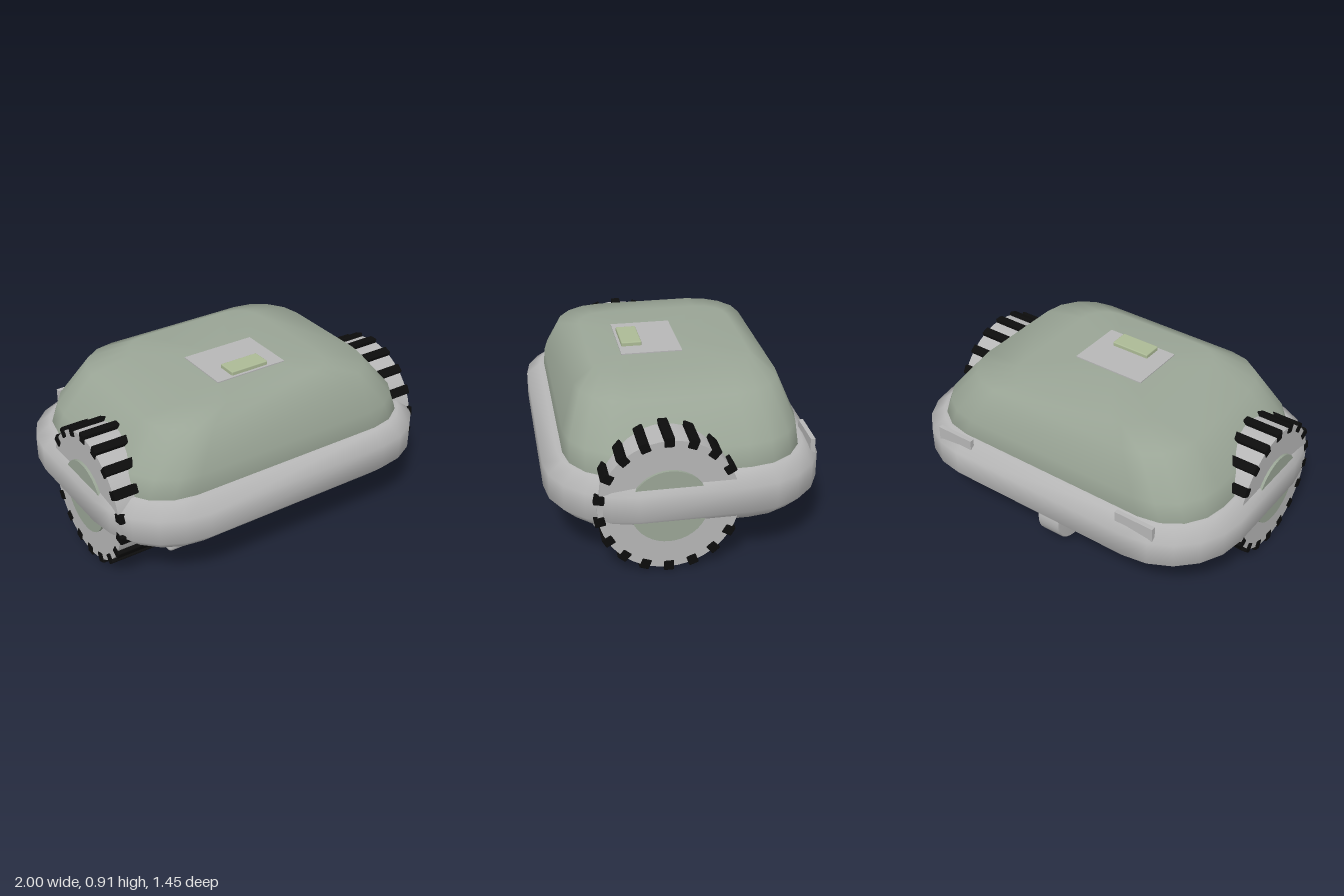
import * as THREE from 'three';
import { RoundedBoxGeometry } from 'three/addons/geometries/RoundedBoxGeometry.js';

const mat = (name, color) => {
  const m = new THREE.MeshStandardMaterial({ color });
  m.name = name;
  return m;
};

// Smooth closed skin through rounded rectangles, each [halfX, halfZ, cornerRadius, y], bottom to top
function loft(sections, seg) {
  const pos = [], idx = [], n = 4 * (seg + 1);
  for (const [hx, hz, r, y] of sections) {
    for (let q = 0; q < 4; q++) {
      const sx = q === 0 || q === 3 ? 1 : -1, sz = q < 2 ? 1 : -1;
      for (let k = 0; k <= seg; k++) {
        const t = (q + k / seg) * Math.PI / 2;
        pos.push(sx * (hx - r) + r * Math.cos(t), y, sz * (hz - r) + r * Math.sin(t));
      }
    }
  }
  const last = sections.length - 1;
  for (let i = 0; i < last; i++) {
    for (let j = 0; j < n; j++) {
      const a = i * n + j, b = i * n + (j + 1) % n;
      idx.push(a, a + n, b, b, a + n, b + n);
    }
  }
  const bottom = pos.length / 3, top = bottom + 1;
  pos.push(0, sections[0][3], 0, 0, sections[last][3], 0);
  for (let j = 0; j < n; j++) {
    const k = (j + 1) % n;
    idx.push(bottom, j, k, top, last * n + k, last * n + j);
  }
  const g = new THREE.BufferGeometry();
  g.setAttribute('position', new THREE.Float32BufferAttribute(pos, 3));
  g.setIndex(idx);
  g.computeVertexNormals();
  return g;
}

export function createModel() {
  const grey = mat('light grey', 0xb6b6b6);
  const green = mat('sage green', 0x9aa596);
  const lime = mat('pale green', 0xabb995);
  const black = mat('black rubber', 0x0c0c0c);

  const model = new THREE.Group();
  const add = (name, geometry, material, x = 0, y = 0, z = 0, parent = model) => {
    const m = new THREE.Mesh(geometry, material);
    m.name = name;
    m.position.set(x, y, z);
    parent.add(m);
    return m;
  };

  // Domed shell
  add('shell', loft([
    [0.88, 0.60, 0.32, 0.36],
    [0.90, 0.62, 0.32, 0.52],
    [0.86, 0.613, 0.32, 0.63],
    [0.69, 0.535, 0.27, 0.835],
    [0.43, 0.43, 0.16, 0.882],
  ], 4), green);

  // Bumper running all the way round
  add('bumper', loft([
    [0.72, 0.445, 0.17, 0.33],
    [0.80, 0.525, 0.25, 0.246],
    [0.92, 0.645, 0.36, 0.246],
    [1.00, 0.725, 0.44, 0.325],
    [1.00, 0.725, 0.44, 0.465],
    [0.92, 0.645, 0.36, 0.524],
    [0.80, 0.525, 0.25, 0.524],
  ], 5), grey);

  // Underbody
  add('base', new RoundedBoxGeometry(1.34, 0.26, 0.96, 2, 0.022), grey, 0, 0.23, 0);

  // Top plate and button
  add('topPlate', new THREE.BoxGeometry(0.43, 0.008, 0.33), grey, 0, 0.884, 0.09);
  add('button', new RoundedBoxGeometry(0.23, 0.04, 0.11, 2, 0.006), lime, 0, 0.89, 0.185);

  // Rear caster
  const caster = new THREE.LatheGeometry([
    [0, -0.073], [0.138, -0.073], [0.145, -0.066],
    [0.145, 0.066], [0.138, 0.073], [0, 0.073],
  ].map(([r, y]) => new THREE.Vector2(r, y)), 40);
  caster.rotateZ(Math.PI / 2);
  add('caster', caster, grey, 0, 0.182, -0.49);

  // Drive wheels with cross treads, and rear contact plates, mirrored
  const tyre = new THREE.CylinderGeometry(0.36, 0.36, 0.265, 48);
  tyre.rotateZ(Math.PI / 2);
  const hub = new THREE.CylinderGeometry(0.2, 0.2, 0.02, 40);
  hub.rotateZ(Math.PI / 2);
  const tread = new RoundedBoxGeometry(0.275, 0.056, 0.052, 1, 0.006);
  for (const side of [1, -1]) {
    const wheel = new THREE.Group();
    wheel.name = side > 0 ? 'leftWheel' : 'rightWheel';
    wheel.position.set(side * 0.826, 0.381, 0.13);
    model.add(wheel);
    add('tyre', tyre, grey, 0, 0, 0, wheel);
    add('hub', hub, green, side * 0.137, 0, 0, wheel);
    for (let i = 0; i < 18; i++) {
      const a = i * Math.PI / 9;
      const t = add('tread', tread, black, 0, 0.353 * Math.cos(a), 0.353 * Math.sin(a), wheel);
      t.rotation.x = a;
    }
    add('contactPlate', new THREE.BoxGeometry(0.23, 0.09, 0.025), grey, side * 0.6, 0.507, -0.673);
  }
  return model;
}
